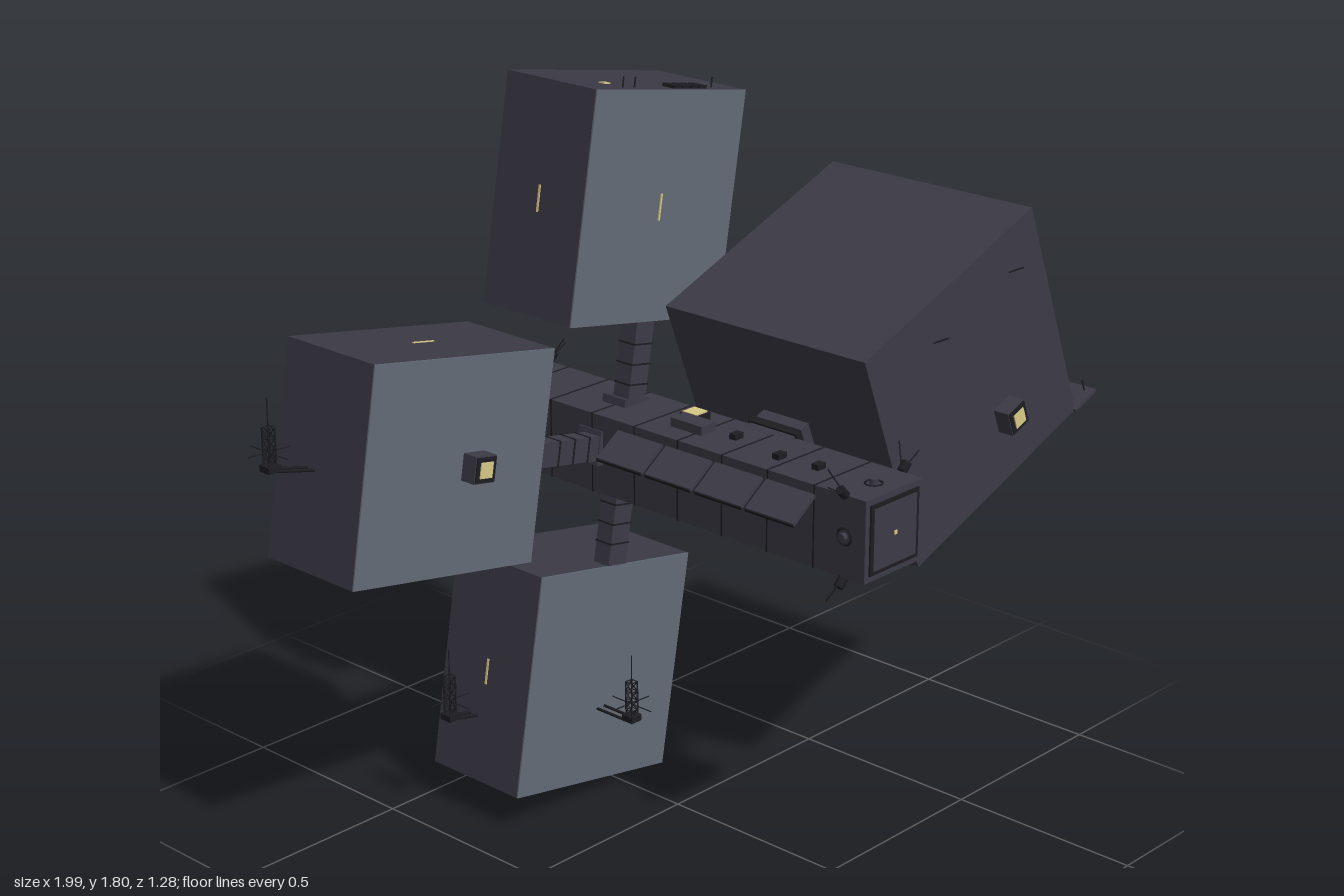
import * as THREE from 'three';

const mat = (name, color) => {
  const m = new THREE.MeshStandardMaterial({ color });
  m.name = name;
  return m;
};

export function createModel() {
  const hull = mat('dark hull', 0x3c3a46);
  const pale = mat('blue grey panel', 0x626b75);
  const black = mat('black fittings', 0x1d1d22);
  const glow = mat('yellow window light', 0xd8c887);
  const model = new THREE.Group();
  model.name = 'spaceStation';

  const box = (parent, name, m, w, h, d, x, y, z) => {
    const mesh = new THREE.Mesh(new THREE.BoxGeometry(w, h, d), m);
    mesh.name = name;
    mesh.position.set(x, y, z);
    parent.add(mesh);
    return mesh;
  };
  const rod = (parent, name, a, b, r = 0.003, m = black, sides = 6) => {
    const p = new THREE.Vector3(...a), q = new THREE.Vector3(...b);
    const dir = q.clone().sub(p);
    const mesh = new THREE.Mesh(new THREE.CylinderGeometry(r, r, dir.length(), sides), m);
    mesh.name = name;
    mesh.position.copy(p).add(q).multiplyScalar(0.5);
    mesh.quaternion.setFromUnitVectors(new THREE.Vector3(0, 1, 0), dir.normalize());
    parent.add(mesh);
  };
  const group = (name, x, y, z, rot = 0, parent = model) => {
    const g = new THREE.Group();
    g.name = name;
    g.position.set(x, y, z);
    g.rotation.z = rot;
    parent.add(g);
    return g;
  };
  const rad = THREE.MathUtils.degToRad;
  const cx = 0.035, cy = 0.9;

  // Lit window box standing out from a front (s = 1) or back (s = -1) wall
  const windowBox = (parent, x, y, wallZ, s) => {
    box(parent, 'windowHousing', hull, 0.065, 0.065, 0.042, x, y, wallZ + s * 0.021);
    box(parent, 'windowFrame', black, 0.06, 0.06, 0.004, x, y, wallZ + s * 0.043);
    box(parent, 'windowPane', glow, 0.038, 0.038, 0.004, x, y, wallZ + s * 0.046);
  };

  // Lattice mast with a foot, cross whiskers and a thin tip
  const mast = (x, y, z, h) => {
    const g = group('antennaMast', x, y, z);
    box(g, 'mastFoot', black, 0.034, 0.016, 0.034, 0, 0.004, 0);
    const r = 0.01, corners = [[-r, -r], [r, -r], [r, r], [-r, r]];
    corners.forEach(([a, b], i) => {
      const [c, d] = corners[(i + 1) % 4];
      rod(g, 'mastLeg', [a, 0, b], [a, h, b], 0.002);
      for (let k = 1; k <= 4; k++) {
        rod(g, 'mastRung', [a, h * k / 4, b], [c, h * k / 4, d], 0.0015);
        rod(g, 'mastBrace', [a, h * (k - 1) / 4, b], [c, h * k / 4, d], 0.0015);
      }
    });
    rod(g, 'mastTip', [0, h, 0], [0, h + 0.07, 0], 0.0015);
    rod(g, 'crossWhisker', [-0.06, h * 0.45, 0], [0.06, h * 0.4, 0], 0.0015);
    rod(g, 'crossWhisker', [0, h * 0.4, -0.065], [0, h * 0.4, 0.065], 0.0015);
  };

  // Central spine with end frames, side hatches and panel ribs
  box(model, 'spine', hull, 0.2, 0.2, 1.26, cx, cy, 0);
  for (const s of [-1, 1]) {
    box(model, 'endFrame', black, 0.17, 0.17, 0.006, cx, cy, s * 0.631);
    box(model, 'endPlate', hull, 0.15, 0.15, 0.006, cx, cy, s * 0.633);
    box(model, 'endLight', glow, 0.01, 0.01, 0.004, cx, cy, s * 0.636);
    for (const [rx, ry] of [[1, 0], [-1, 0], [0, 1], [0, -1]]) {
      const px = cx + rx * 0.1, py = cy + ry * 0.1, pz = s * 0.57;
      const ring = new THREE.Mesh(new THREE.TorusGeometry(0.02, 0.003, 6, 16), black);
      ring.name = 'portRing';
      ring.position.set(px, py, pz);
      ring.rotation.set(ry ? Math.PI / 2 : 0, rx ? Math.PI / 2 : 0, 0);
      model.add(ring);
      rod(model, 'portCap', [px, py, pz], [px + rx * 0.012, py + ry * 0.012, pz], 0.01, hull, 12);
    }
    // Corner thrusters
    for (const a of [-1, 1]) for (const b of [-1, 1]) {
      const x = cx + a * 0.1, y = cy + b * 0.1, z = s * 0.57;
      rod(model, 'thruster', [x, y, z], [x + a * 0.018, y + b * 0.018, z], 0.012, black, 8);
      rod(model, 'whisker', [x, y, z], [x + a * 0.06, y + b * 0.035, z], 0.0018);
      rod(model, 'whisker', [x, y, z], [x + a * 0.025, y + b * 0.06, z - s * 0.03], 0.0018);
    }
  }
  for (let i = 0; i < 8; i++) {
    const z = -0.5 + i * 0.14;
    box(model, 'spineRib', black, 0.203, 0.203, 0.004, cx, cy, z);
  }
  box(model, 'topHatch', hull, 0.05, 0.025, 0.1, 0.02, 1.01, 0.03);
  box(model, 'topLightFrame', black, 0.052, 0.02, 0.052, 0.065, 1.01, -0.005);
  box(model, 'topLight', glow, 0.042, 0.004, 0.042, 0.065, 1.022, -0.005);
  for (const [x, z] of [[0.01, 0.31], [0.04, 0.15], [0.05, -0.22], [0.02, 0.42]]) {
    box(model, 'topVent', black, 0.028, 0.016, 0.02, x, 1.006, z);
  }

  // Two rows of tilted panels along the front half of the spine
  for (let i = 0; i < 4; i++) {
    const z = -0.06 + i * 0.157;
    for (const s of [-1, 1]) {
      const g = group('sidePanel', cx + s * 0.137, cy - s * 0.05, z, rad(s < 0 ? 35 : -35));
      g.rotation.z = s < 0 ? rad(35) : rad(-35) + Math.PI;
      box(g, 'panelPlate', hull, 0.09, 0.008, 0.145, 0, 0, 0);
      box(g, 'panelEdge', black, 0.004, 0.01, 0.145, -0.046, 0, 0);
      rod(model, 'panelStrut', [cx + s * 0.1, cy - s * 0.03, z], [cx + s * 0.137, cy - s * 0.05, z], 0.006);
    }
  }

  // Three smaller pods on arms around the rear of the spine
  [['topPod', -10], ['sidePod', 80], ['bottomPod', 170]].forEach(([name, deg]) => {
    const g = group(name, cx, cy, 0, rad(deg));
    box(g, 'podArm', hull, 0.06, 0.27, 0.05, 0, 0.21, -0.212);
    for (const y of [0.15, 0.2, 0.25]) box(g, 'armBand', black, 0.064, 0.004, 0.054, 0, y, -0.212);
    box(g, 'armCollar', hull, 0.085, 0.02, 0.075, 0, 0.105, -0.222);
    box(g, 'podBody', hull, 0.52, 0.56, 0.292, 0, 0.585, -0.336);
    box(g, 'podFront', pale, 0.52, 0.56, 0.004, 0, 0.585, -0.188);
    for (const s of [-1, 1]) box(g, 'slitWindow', glow, 0.004, 0.065, 0.006, s * 0.26, 0.585, -0.335);
    if (name === 'sidePod') {
      windowBox(g, 0, 0.533, -0.186, 1);
      windowBox(g, 0, 0.533, -0.482, -1);
    }
    if (name === 'topPod') {
      box(g, 'frontSlit', glow, 0.005, 0.065, 0.004, 0, 0.585, -0.185);
      // Roof fittings
      for (let i = 0; i < 4; i++) box(g, 'roofVent', black, 0.024, 0.01, 0.04, 0.03 + i * 0.03, 0.868, -0.22);
      for (const x of [-0.14, -0.1, 0.17]) rod(g, 'roofSpike', [x, 0.865, -0.22], [x, 0.89, -0.22], 0.002);
      box(g, 'roofLamp', glow, 0.02, 0.004, 0.02, -0.14, 0.866, -0.28);
    }
  });

  // Large pod with its connector and outer ledge
  const big = group('largePod', 0.505, 1.088, 0.183, rad(21.1));
  box(big, 'connector', hull, 0.16, 0.12, 0.14, -0.39, 0, 0);
  box(big, 'connectorBand', black, 0.02, 0.13, 0.15, -0.37, 0, 0);
  box(big, 'largePodBody', hull, 0.654, 0.606, 0.615, 0, 0, 0);
  windowBox(big, 0.077, -0.134, 0.3075, 1);
  windowBox(big, 0.077, -0.134, -0.3075, -1);
  box(big, 'ledge', hull, 0.09, 0.008, 0.63, 0.365, -0.299, 0);
  for (const z of [-0.04, 0.028]) box(big, 'ledgeMarking', glow, 0.07, 0.003, 0.004, 0.366, -0.294, z);
  box(big, 'ledgeMarking', glow, 0.004, 0.003, 0.07, 0.4, -0.294, -0.006);
  for (let i = 0; i < 6; i++) {
    const z = -0.29 + i * 0.116;
    rod(big, 'ledgePost', [0.395, -0.295, z], [0.395, -0.265, z], 0.002);
  }
  // Outer doorway
  box(big, 'doorway', black, 0.006, 0.13, 0.16, 0.327, 0.005, -0.003);
  box(big, 'doorLeaf', hull, 0.006, 0.115, 0.09, 0.329, 0.01, 0.025);
  box(big, 'doorSill', black, 0.014, 0.006, 0.16, 0.332, -0.06, -0.003);
  for (const z of [-0.08, -0.03, -0.012, 0.075]) box(big, 'doorRail', black, 0.014, 0.13, 0.005, 0.332, 0.005, z);
  // Corner whiskers on the large pod
  for (const x of [-0.1, 0.2]) for (const s of [-1, 1]) {
    rod(big, 'podWhisker', [x, 0.2, s * 0.307], [x + 0.03, 0.2, s * 0.33], 0.002);
  }

  // Antenna booms and masts
  for (const dz of [-0.012, 0.012]) {
    rod(model, 'boom', [-0.82, 1.03, -0.365 + dz], [-0.94, 1.06, -0.365 + dz], 0.004);
    rod(model, 'boom', [-0.33, 0.25, -0.365 + dz], [-0.43, 0.272, -0.365 + dz], 0.004);
    rod(model, 'boom', [-0.08 + dz, 0.237, -0.19], [-0.08 + dz, 0.237, -0.08], 0.004);
  }
  mast(-0.935, 1.06, -0.365, 0.1);
  mast(-0.42, 0.27, -0.365, 0.11);
  mast(-0.08, 0.24, -0.08, 0.1);
  rod(model, 'boom', [-0.06, 0.97, -0.52], [-0.15, 0.97, -0.52], 0.005);
  mast(-0.145, 0.97, -0.52, 0.07);
  return model;
}
